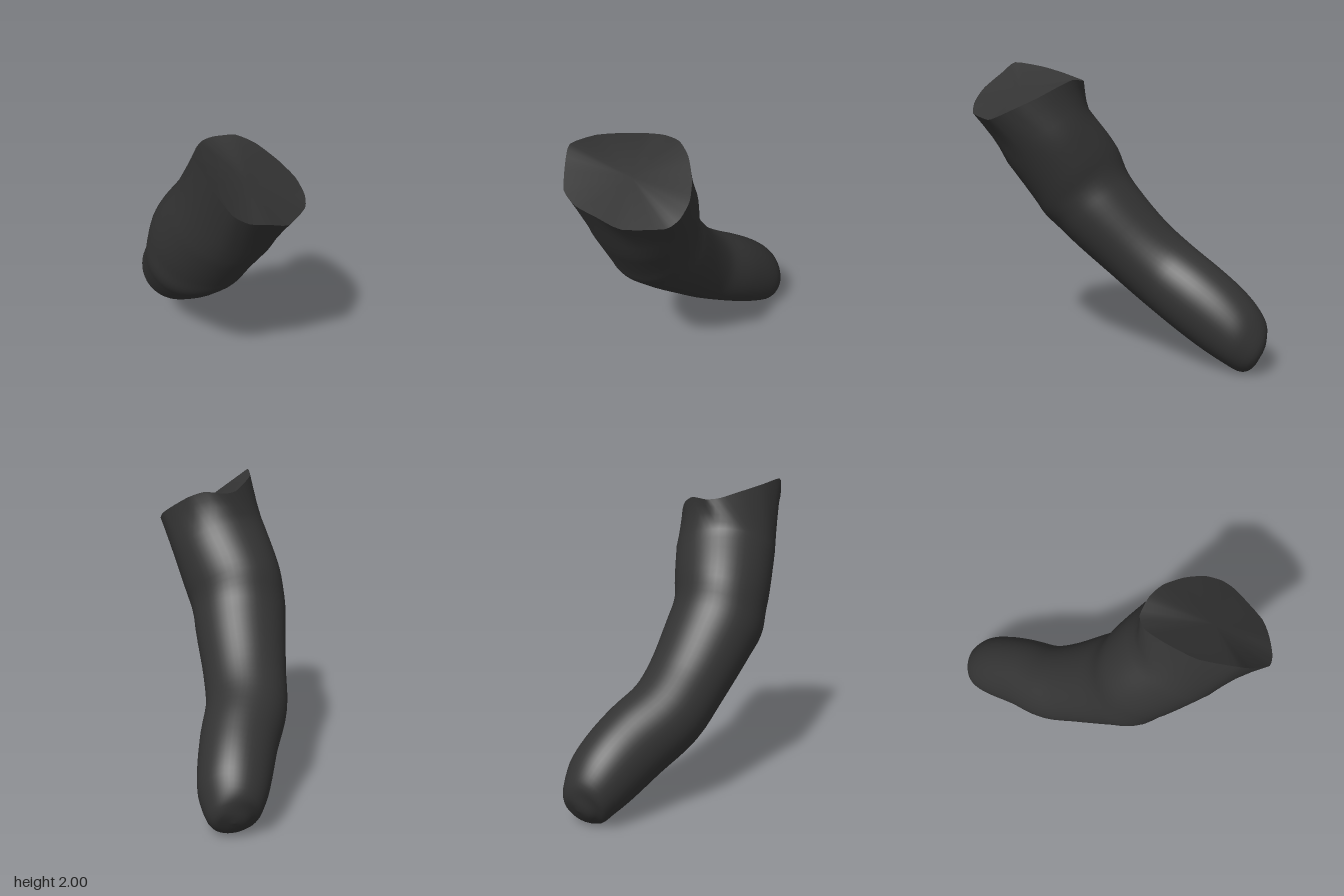
import * as THREE from 'three';

const SEG = 48;
const V = (x, y, z) => new THREE.Vector3(x, y, z);

// Cut rim at the upper end: starts at +x and runs round by way of the back
const RIM = [
  [.53, 1.64, .6], [.53, 1.67, .5], [.48, 1.72, .4], [.38, 1.78, .31],
  [.25, 1.85, .24], [.13, 1.89, .215], [0, 1.88, .225], [-.06, 1.89, .3],
  [-.085, 1.93, .46], [-.09, 1.97, .64], [-.03, 2, .84], [.03, 1.93, .91],
  [.13, 1.83, .985], [.22, 1.77, .97], [.32, 1.73, .91], [.43, 1.67, .82],
];

// Sections: underside z, y; upper side z, y; then centre x and half width
const SECTIONS = [
  [.77, 1.38, .16, 1.65, .085, .333], [.6, 1.08, .06, 1.44, -.045, .333],
  [.52, .94, 0, 1.27, -.1, .318], [.39, .81, -.08, 1.15, -.135, .303],
  [.1, .56, -.26, .93, -.215, .272], [-.13, .375, -.41, .8, -.267, .26],
  [-.4, .215, -.62, .675, -.272, .243], [-.6, .105, -.8, .545, -.288, .228],
  [-.73, .045, -.92, .42, -.303, .206], [-.83, .005, -.985, .29, -.325, .157],
  [-.9, .05, -.98, .2, -.34, .085], [-.955, .125, -.955, .125, -.345, 0],
];

function buildRings() {
  const rimCurve = new THREE.CatmullRomCurve3(RIM.map((p) => V(...p)), true, 'catmullrom', .3);
  const rim = Array.from({ length: SEG }, (_, j) => rimCurve.getPoint(j / SEG));
  const curve = (fn) => new THREE.CatmullRomCurve3(SECTIONS.map(fn));
  const under = curve(([z, y, , , x]) => V(x, y, z));
  const upper = curve(([, , z, y, x]) => V(x, y, z));
  const spine = curve(([za, ya, zb, yb, x]) => V(x, (ya + yb) / 2, (za + zb) / 2));
  const width = curve((s, i) => V(s[5], i * .1, 0));
  const rings = [];
  const steps = (SECTIONS.length - 1) * 4;
  for (let i = 0; i <= steps; i++) {
    const k = i / steps;
    const low = under.getPoint(k), high = upper.getPoint(k), t = spine.getTangent(k);
    const c = low.clone().lerp(high, .5);
    const u = high.sub(low).multiplyScalar(.5);
    const w = V(1, 0, 0).addScaledVector(t, -t.x).normalize().multiplyScalar(width.getPoint(k).x);
    rings.push(Array.from({ length: SEG }, (_, j) => {
      const a = (j / SEG) * Math.PI * 2;
      return c.clone().addScaledVector(w, Math.cos(a)).addScaledVector(u, Math.sin(a));
    }));
  }
  // Blend from the uneven rim into the first oval section
  const blend = [0, .25, .5, .75].map((f) => rim.map((p, j) => p.clone().lerp(rings[0][j], f)));
  return [...blend, ...rings];
}

function makeGeometry(points, index) {
  const g = new THREE.BufferGeometry().setFromPoints(points);
  g.setIndex(index);
  g.computeVertexNormals();
  return g;
}

export function createModel() {
  const group = new THREE.Group();
  group.name = 'bentFinger';
  const material = new THREE.MeshStandardMaterial({ color: 0x333333 });
  const rings = buildRings();

  // Curved body with rounded tip
  const index = [];
  for (let i = 0; i < rings.length - 1; i++) {
    for (let j = 0; j < SEG; j++) {
      const n = (j + 1) % SEG;
      const a = i * SEG + j, b = i * SEG + n, c = a + SEG, d = b + SEG;
      index.push(a, c, b);
      if (i < rings.length - 2) index.push(b, c, d);
    }
  }
  const body = new THREE.Mesh(makeGeometry(rings.flat(), index), material);
  body.name = 'fingerBody';

  // Shallow cut end closing the rim
  const capIndex = [];
  for (let j = 0; j < SEG; j++) capIndex.push(SEG, j, (j + 1) % SEG);
  const cap = new THREE.Mesh(makeGeometry([...rings[0], V(.2, 1.815, .6)], capIndex), material);
  cap.name = 'cutEnd';

  group.add(body, cap);
  return group;
}
